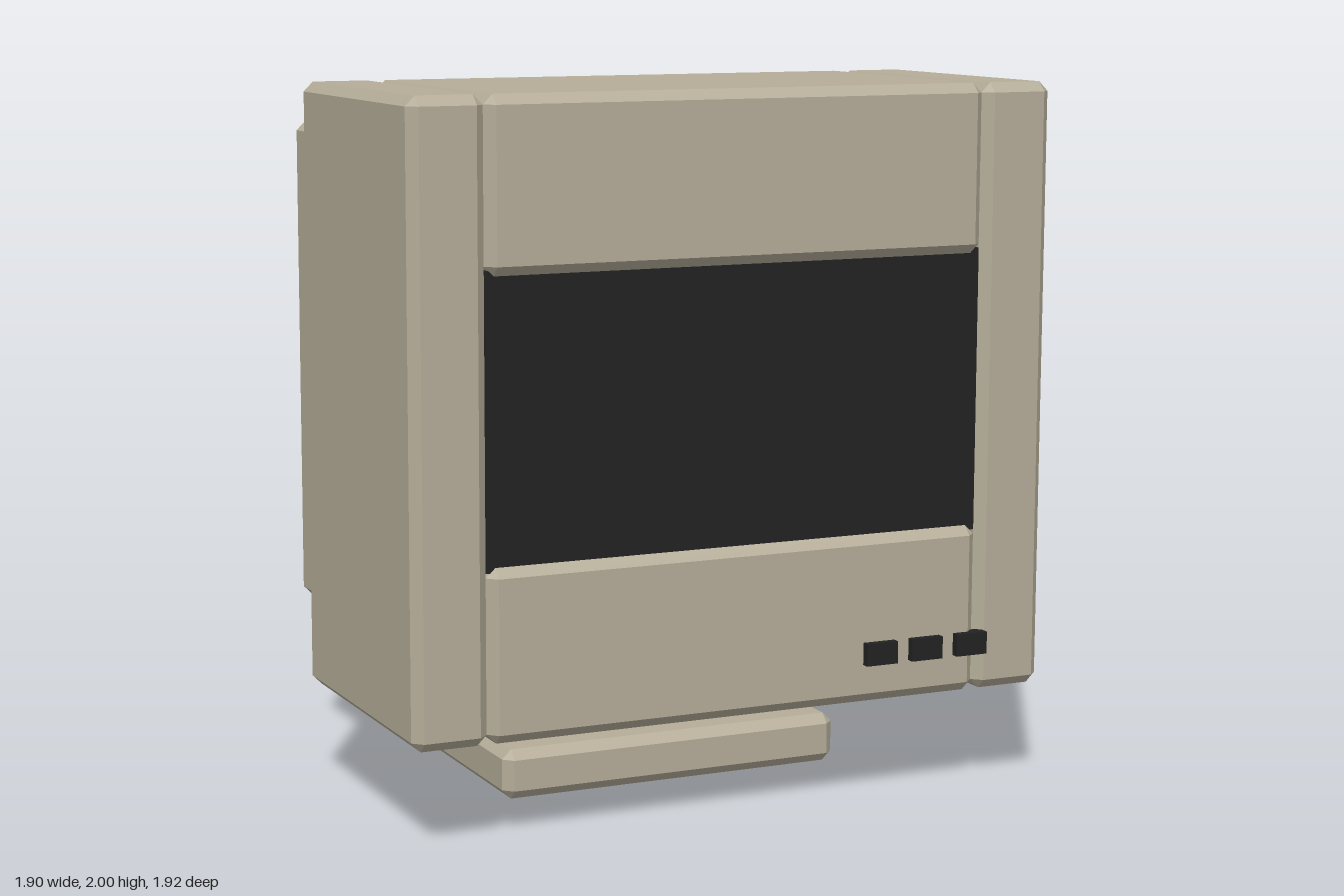
import * as THREE from 'three';
import { ConvexGeometry } from 'three/addons/geometries/ConvexGeometry.js';

// Box given by its limits, with every edge cut by a flat bevel of one or two steps
function bevelBox([x0, x1], [y0, y1], [z0, z1], r, steps = 1) {
  const points = [];
  const half = new THREE.Vector3(x1 - x0, y1 - y0, z1 - z0).multiplyScalar(0.5);
  const centre = new THREE.Vector3(x0 + x1, y0 + y1, z0 + z1).multiplyScalar(0.5);
  for (const sx of [-1, 1]) for (const sy of [-1, 1]) for (const sz of [-1, 1]) {
    // Points of an eighth of a sphere at each corner
    for (let i = 0; i <= steps; i++) for (let j = 0; j <= steps - i; j++) {
      const [a, b, c] = [i, j, steps - i - j];
      const d = new THREE.Vector3(a, b, c).normalize().multiplyScalar(r);
      points.push(new THREE.Vector3(
        sx * (half.x - r + d.x), sy * (half.y - r + d.y), sz * (half.z - r + d.z)).add(centre));
    }
  }
  return new ConvexGeometry(points);
}

export function createModel() {
  const model = new THREE.Group();
  model.name = 'monitor';
  const beige = new THREE.MeshStandardMaterial({ color: 0xb5ad99 });
  beige.name = 'beige plastic';
  const dark = new THREE.MeshStandardMaterial({ color: 0x222222 });
  dark.name = 'dark glass';

  const add = (name, geometry, material = beige) => {
    const mesh = new THREE.Mesh(geometry, material);
    mesh.name = name;
    model.add(mesh);
    return mesh;
  };
  const addBlock = (name, x, y, z, size) => {
    const mesh = add(name, new THREE.BoxGeometry(x[1] - x[0], y[1] - y[0], z[1] - z[0]), size);
    mesh.position.set((x[0] + x[1]) / 2, (y[0] + y[1]) / 2, (z[0] + z[1]) / 2);
  };

  // Front housing: two side panels with a top and a bottom block between them
  const depth = [0.085, 0.94];
  add('leftPanel', bevelBox([0.738, 0.95], [0.29, 2], depth, 0.027));
  add('rightPanel', bevelBox([-0.95, -0.738], [0.29, 2], depth, 0.027));
  add('topBlock', bevelBox([-0.738, 0.738], [1.53, 2], depth, 0.027));
  add('bottomBlock', bevelBox([-0.738, 0.738], [0.29, 0.765], depth, 0.027));

  // Screen filling the gap, set just behind the bevels
  addBlock('screen', [-0.738, 0.738], [0.75, 1.545], [0.12, 0.914], dark);

  // Stepped rear housing
  add('rearHousing', bevelBox([-0.81, 0.81], [0.41, 1.89], [-0.435, 0.2], 0.056));
  add('tubeCover', bevelBox([-0.52, 0.52], [0.625, 1.575], [-0.96, -0.3], 0.095, 2));

  // Row of buttons
  for (let i = 0; i < 3; i++) {
    const x = 0.377 + i * 0.143;
    addBlock('button' + (i + 1), [x, x + 0.097], [0.4, 0.463], [0.92, 0.963], dark);
  }

  // Stand
  add('neck', bevelBox([-0.283, 0.283], [0.143, 0.288], [-0.293, 0.275], 0.026));
  add('base', bevelBox([-0.522, 0.522], [0, 0.143], [-0.53, 0.515], 0.027));
  return model;
}
